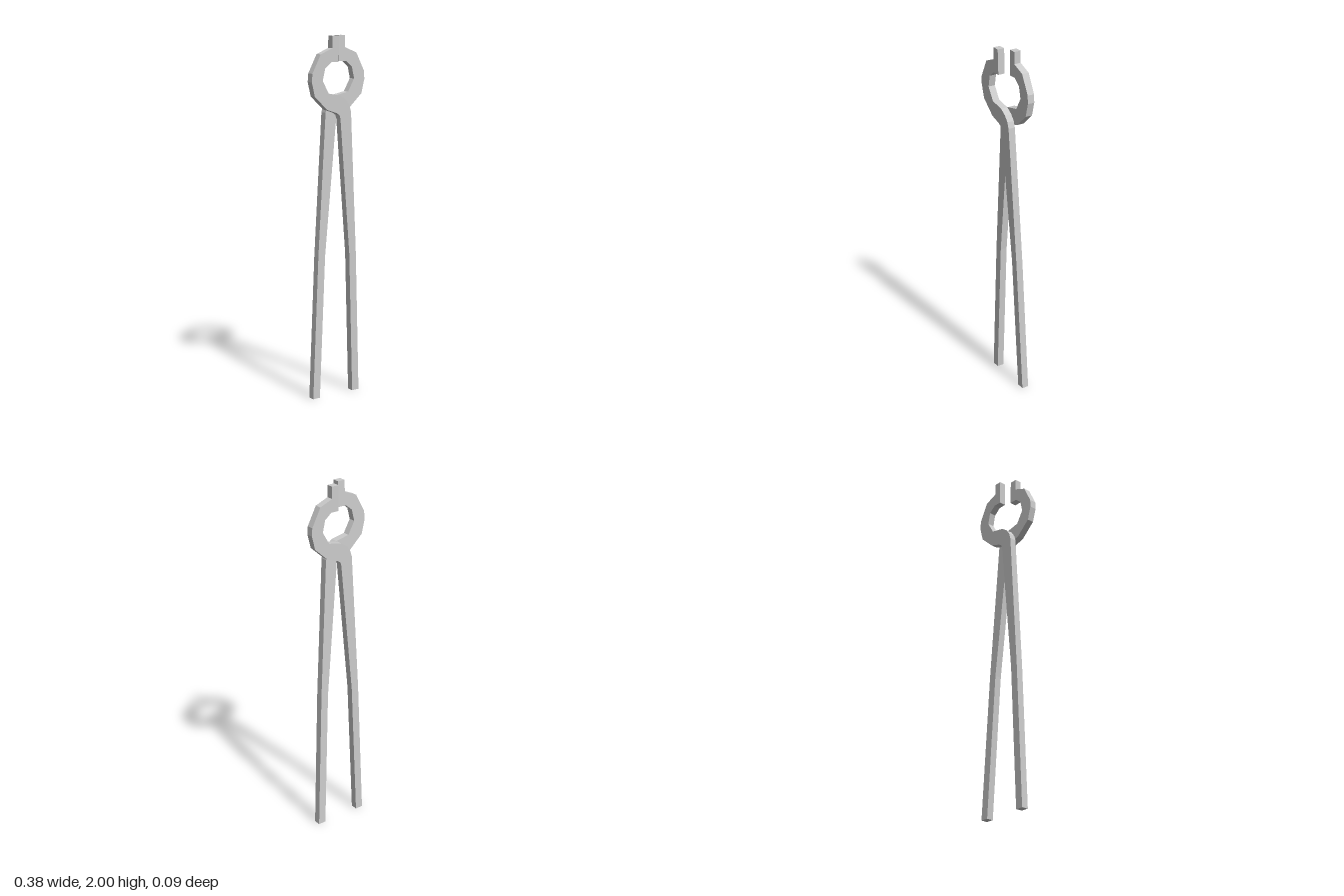
import * as THREE from 'three';

const THICK = 0.039;
const BACK = -0.045;

// Outline of one tong: jaw on -x, crossing over to a handle on +x
const OUTLINE = [
  // outer side of the jaw, from the tip down to the crossing
  [-0.018, 2], [-0.06, 2], [-0.06, 1.935], [-0.135, 1.905], [-0.187, 1.805],
  [-0.19, 1.76], [-0.17, 1.683], [-0.09, 1.61], [-0.025, 1.588], [-0.006, 1.575], [0, 1.556],
  // handle
  [0.075, 0.8], [0.112, 0], [0.157, 0], [0.12, 0.8], [0.07, 1.59],
  // crossing and inner side of the jaw
  [0.06, 1.623], [0.038, 1.654], [0, 1.68], [-0.08, 1.696],
  [-0.12, 1.765], [-0.105, 1.83], [-0.065, 1.862], [-0.018, 1.862],
];

// side: 1 or -1 mirrors the outline; lean: forward shift in z per unit of height
function makeTong(name, side, lean) {
  const shape = new THREE.Shape(OUTLINE.map(([x, y]) => new THREE.Vector2(x * side, y)));
  const geometry = new THREE.ExtrudeGeometry(shape, { depth: THICK, bevelEnabled: false });
  const pos = geometry.attributes.position;
  for (let i = 0; i < pos.count; i++) {
    pos.setZ(i, pos.getZ(i) + BACK + lean * pos.getY(i));
  }
  geometry.computeVertexNormals();
  const material = new THREE.MeshStandardMaterial({ color: 0xcccccc, flatShading: true });
  const mesh = new THREE.Mesh(geometry, material);
  mesh.name = name;
  return mesh;
}

export function createModel() {
  const group = new THREE.Group();
  group.name = 'tongs';
  // upright rear half, and front half leaning forward so that it passes over the rear one
  group.add(makeTong('rearTong', -1, 0));
  group.add(makeTong('frontTong', 1, 0.0255));
  return group;
}
